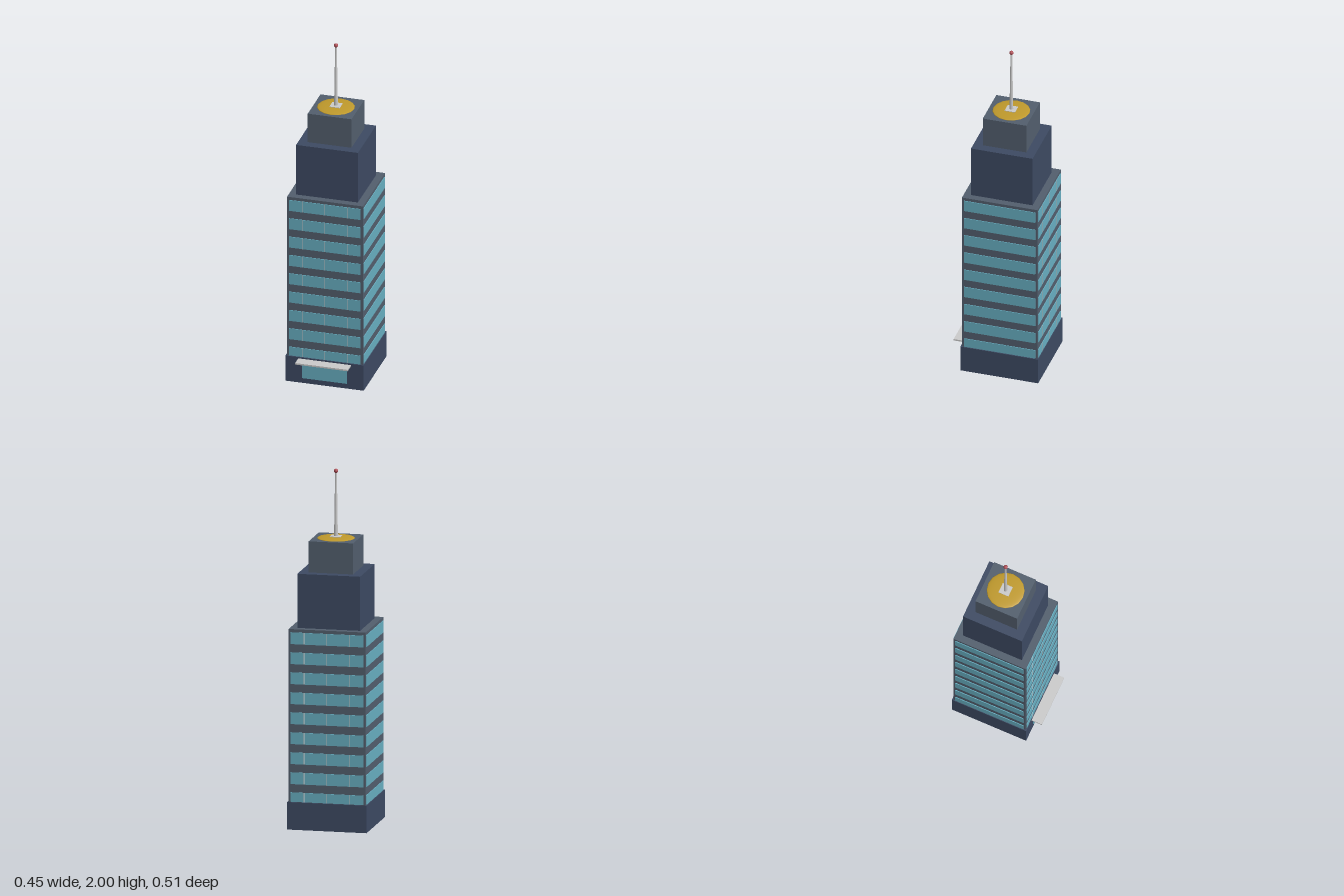
import * as THREE from 'three';

const CZ = -0.031; // tower axis sits slightly behind the entrance canopy

const paint = (color) => new THREE.MeshStandardMaterial({ color });
const navy = paint(0x3d4a63);
const slate = paint(0x535f6e);
const glass = paint(0x68afc2);
const grey = paint(0xcccccc);
const gold = paint(0xc09a2c);
const red = paint(0xb05058);

export function createModel() {
  const model = new THREE.Group();
  model.name = 'skyscraper';

  const tower = new THREE.Group();
  tower.name = 'tower';
  tower.position.z = CZ;
  model.add(tower);

  const add = (parent, name, geometry, material, x = 0, y = 0, z = 0) => {
    const mesh = new THREE.Mesh(geometry, material);
    mesh.name = name;
    mesh.position.set(x, y, z);
    parent.add(mesh);
    return mesh;
  };

  // Stepped square tiers, bottom to top
  const tiers = [
    ['base', 0.45, 0, 0.155, navy],
    ['shaft', 0.436, 0.155, 1.13, slate],
    ['upperTier', 0.356, 1.13, 1.435, navy],
    ['crownTier', 0.252, 1.435, 1.61, slate],
  ];
  for (const [name, w, y0, y1, mat] of tiers) {
    add(tower, name, new THREE.BoxGeometry(w, y1 - y0, w), mat, 0, (y0 + y1) / 2, 0);
  }

  // Window bands on all four sides; front and back carry thin mullions
  const bottom = 0.157;
  for (let side = 0; side < 4; side++) {
    const face = new THREE.Group();
    face.name = ['front', 'left', 'back', 'right'][side] + 'Windows';
    face.rotation.y = side * Math.PI / 2;
    tower.add(face);
    for (let floor = 0; floor < 9; floor++) {
      const top = 0.21 + floor * 0.1128;
      const low = Math.max(bottom, top - 0.066);
      const h = top - low, y = (top + low) / 2;
      add(face, 'windowBand', new THREE.BoxGeometry(0.412, h, 0.008), glass, 0, y, 0.218);
      if (side % 2 === 0) {
        for (const x of [-0.13, 0, 0.13]) {
          add(face, 'mullion', new THREE.BoxGeometry(0.003, h, 0.003), grey, x, y, 0.2215);
        }
      }
    }
  }

  // Entrance
  add(tower, 'entranceGlass', new THREE.BoxGeometry(0.26, 0.108, 0.006), glass, 0, 0.084, 0.2245);
  add(tower, 'entranceCanopy', new THREE.BoxGeometry(0.302, 0.009, 0.065), grey, 0, 0.143, 0.2545);

  // Shallow golden dome on the roof
  const dome = new THREE.SphereGeometry(0.105, 16, 8, 0, Math.PI * 2, 0, Math.PI / 2);
  dome.scale(1, 0.09, 1);
  add(tower, 'roofDome', dome, gold, 0, 1.61, 0);

  // Antenna mast with a beacon
  add(tower, 'mastFoot', new THREE.BoxGeometry(0.06, 0.012, 0.06), grey, 0, 1.616, 0);
  add(tower, 'mast', new THREE.CylinderGeometry(0.005, 0.011, 0.368, 8), grey, 0, 1.804, 0);
  add(tower, 'beacon', new THREE.SphereGeometry(0.012, 12, 8), red, 0, 1.988, 0);

  return model;
}
